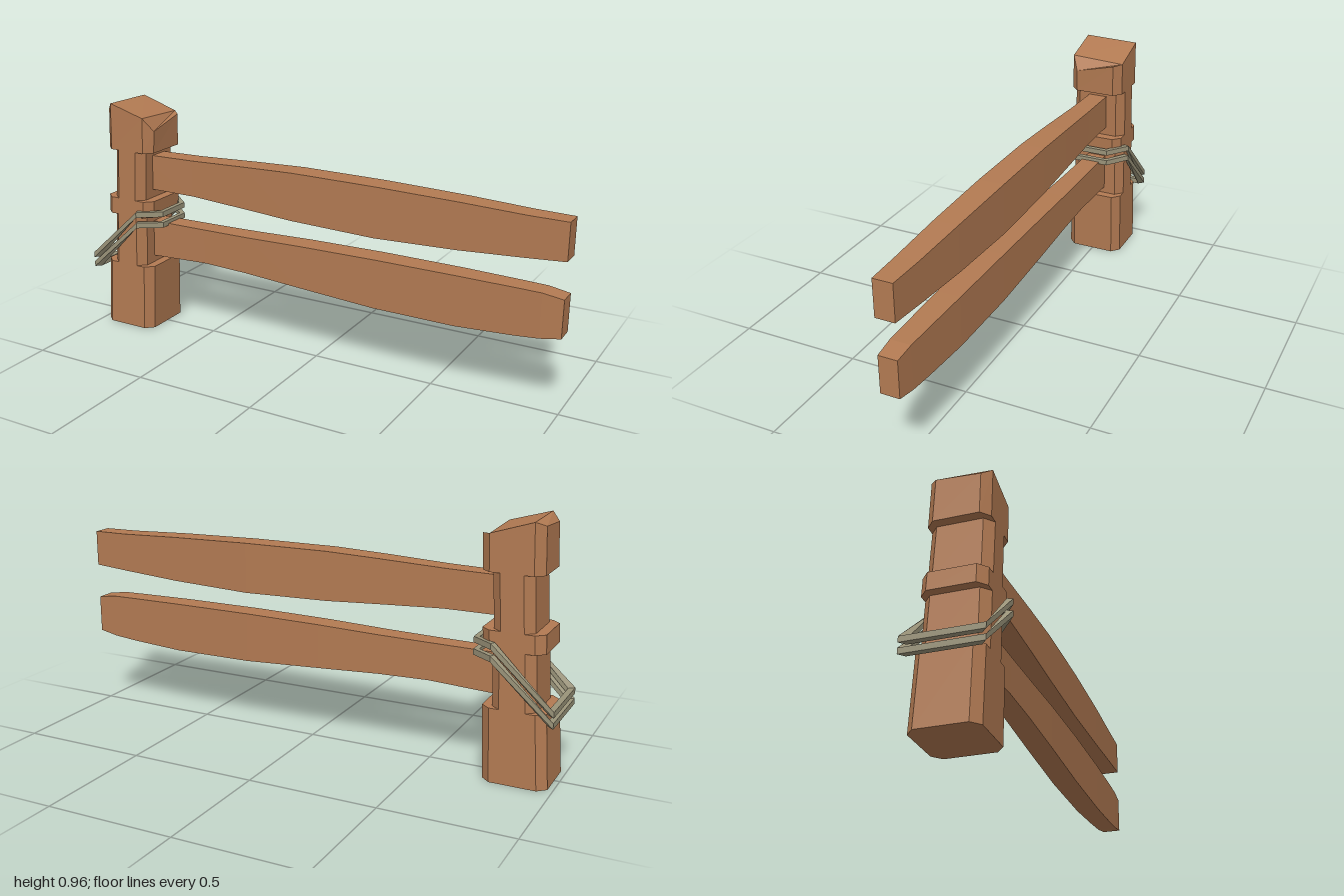
import * as THREE from 'three';

const wood = new THREE.MeshStandardMaterial({ color: 0xb27a52 });
wood.name = 'brown wood';
const rope = new THREE.MeshStandardMaterial({ color: 0x9a9379 });
rope.name = 'grey rope';

// Flat-faced skin over cross-sections that share one point count
function loft(sections, closed = false) {
  const pos = [];
  const tri = (a, b, c) => {
    const [A, B, C] = [a, b, c].map((p) => new THREE.Vector3(...p));
    if (B.sub(A).cross(C.sub(A)).length() > 1e-8) pos.push(...a, ...b, ...c);
  };
  const quad = (a, b, c, d) => { tri(a, b, c); tri(a, c, d); };
  const n = sections[0].length;
  const count = sections.length;
  for (let s = 0; s < (closed ? count : count - 1); s++) {
    const a = sections[s], b = sections[(s + 1) % count];
    for (let i = 0; i < n; i++) {
      const j = (i + 1) % n;
      quad(a[i], a[j], b[j], b[i]);
    }
  }
  const cap = (p) => {
    for (let i = 0; i < n / 2 - 1; i++) quad(p[(n - i) % n], p[i + 1], p[i + 2], p[n - 1 - i]);
  };
  if (!closed) {
    cap(sections[count - 1]);
    const f = sections[0];
    cap([f[1], f[0], ...f.slice(2).reverse()]);
  }
  const geo = new THREE.BufferGeometry();
  geo.setAttribute('position', new THREE.Float32BufferAttribute(pos, 3));
  geo.computeVertexNormals();
  return geo;
}

// Eight-sided post section with chamfered corners
function octagon(y, x0, x1) {
  const z = 0.121 - 0.011 * y, f = z - 0.03, c = 0.033;
  return [
    [x1, y, f], [x1, y, -f], [x1 - c, y, -z], [x0 + c, y, -z],
    [x0, y, -f], [x0, y, f], [x0 + c, y, z], [x1 - c, y, z],
  ];
}

// Rail from stations of [x, bottom, top, half depth]
function rail(stations) {
  return loft(stations.map(([x, b, t, d]) => [[x, t, -d], [x, t, d], [x, b, d], [x, b, -d]]));
}

// Square cord looped around the post, sloping down behind it
function cordLoop(yLow, yMid, yEnd) {
  const half = [
    [-0.68, 0.075, -0.7, 0.066, yEnd],
    [-0.765, 0.145, -0.774, 0.125, yMid],
    [-1, 0.145, -0.978, 0.125, yLow],
  ];
  const section = ([xo, zo, xi, zi, y], side) => [
    [xo, y + 0.011, zo * side], [xo, y - 0.011, zo * side],
    [xi, y - 0.011, zi * side], [xi, y + 0.011, zi * side],
  ];
  const [e, m, l] = half;
  return loft([
    section(e, 1), section(e, -1), section(m, -1),
    section(l, -1), section(l, 1), section(m, 1),
  ], true);
}

export function createModel() {
  const group = new THREE.Group();
  group.name = 'fence';
  const add = (name, geometry, material) => {
    const mesh = new THREE.Mesh(geometry, material);
    mesh.name = name;
    group.add(mesh);
  };

  // Leaning post, notched on both ends, with a roughly cut sloping top
  const postSections = [
    [0, -0.98, -0.739], [0.28, -0.96, -0.726],
    [0.28, -0.925, -0.763], [0.495, -0.913, -0.755],
    [0.495, -0.947, -0.72], [0.565, -0.943, -0.714],
    [0.565, -0.906, -0.755], [0.77, -0.893, -0.744],
    [0.77, -0.929, -0.705], [0.92, -0.922, -0.7],
  ].map((s) => octagon(...s));
  const topHeights = [0.86, 0.9, 0.905, 0.955, 0.94, 0.93, 0.96, 0.915];
  postSections.at(-1).forEach((p, i) => { p[1] = topHeights[i]; });
  add('post', loft(postSections), wood);

  // Upper and lower rails, thicker towards the middle
  add('upperRail', rail([
    [-0.82, 0.6, 0.744, 0.038], [-0.55, 0.6, 0.749, 0.041], [-0.3, 0.587, 0.759, 0.046],
    [-0.08, 0.574, 0.766, 0.049], [0.27, 0.565, 0.764, 0.05], [0.6, 0.576, 0.756, 0.047],
    [0.85, 0.591, 0.746, 0.042], [1, 0.601, 0.744, 0.038],
  ]), wood);
  add('lowerRail', rail([
    [-0.82, 0.305, 0.462, 0.038], [-0.5, 0.32, 0.465, 0.041], [-0.3, 0.315, 0.468, 0.044],
    [-0.05, 0.301, 0.475, 0.047], [0.27, 0.283, 0.479, 0.048], [0.6, 0.28, 0.478, 0.046],
    [0.82, 0.291, 0.475, 0.042], [0.92, 0.299, 0.473, 0.04], [1, 0.313, 0.461, 0.037],
  ]), wood);

  // Two cords tied around the post
  add('upperCord', cordLoop(0.302, 0.515, 0.512), rope);
  add('lowerCord', cordLoop(0.261, 0.47, 0.466), rope);

  return group;
}
